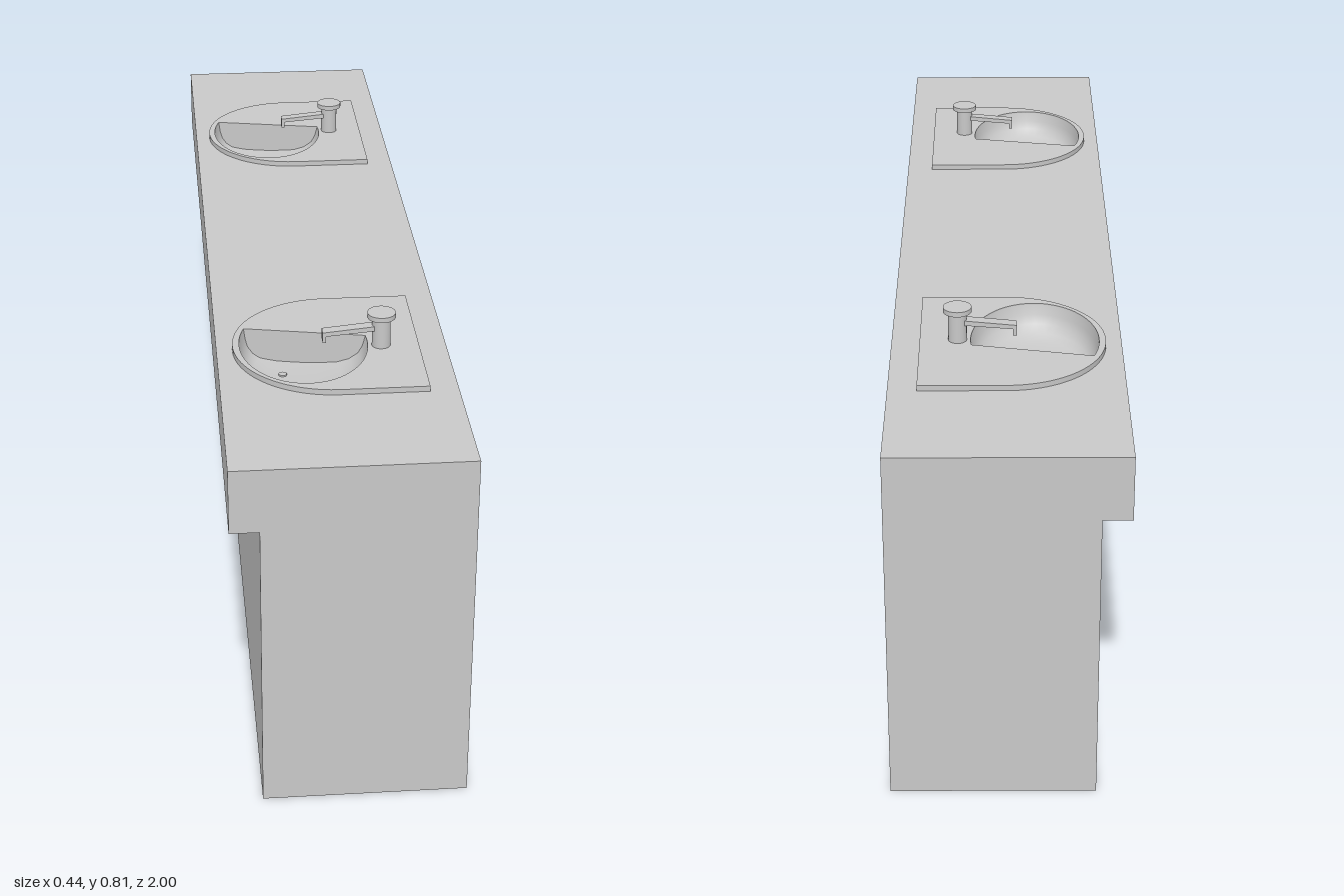
import * as THREE from 'three';
import { toCreasedNormals } from 'three/addons/utils/BufferGeometryUtils.js';

const COUNTER_TOP = 0.725, PLATE_TOP = 0.736;
const BOWL = { x: -0.055, rx: 0.124, rz: 0.162 };

export function createModel() {
  const group = new THREE.Group();
  const grey = new THREE.MeshStandardMaterial({ color: 0xc8c8c8 });
  grey.name = 'grey';
  const greyOpen = grey; // one colour throughout

  const add = (parent, name, geometry, x = 0, y = 0, z = 0) => {
    const mesh = new THREE.Mesh(geometry, greyOpen);
    mesh.name = name;
    mesh.position.set(x, y, z);
    parent.add(mesh);
    return mesh;
  };

  // Extrudes a plan outline (x, -z) upwards
  const slab = (shape, height) => toCreasedNormals(
    new THREE.ExtrudeGeometry(shape, { depth: height, bevelEnabled: false, curveSegments: 32 })
      .rotateX(-Math.PI / 2), 0.5);

  // Bowl opening: an ellipse cut off by a slanted chord on its far side
  const opening = (z) => {
    const points = [];
    for (let i = 0; i <= 40; i++) {
      const a = 0.142 - (3.735 * i) / 40;
      points.push(new THREE.Vector2(BOWL.x + BOWL.rx * Math.cos(a), -z + BOWL.rz * Math.sin(a)));
    }
    return new THREE.Path(points);
  };

  // Bowl: elliptical rings shrinking to a flat floor set towards the -x side
  const bowlGeometry = () => {
    const rings = [[1, 0], [0.97, 0.02], [0.92, 0.037], [0.82, 0.051], [0.68, 0.06], [0.4, 0.065], [0, 0.066]];
    const n = 40, positions = [], index = [];
    rings.forEach(([s, depth], r) => {
      for (let i = 0; i < n; i++) {
        const a = (i / n) * Math.PI * 2;
        positions.push(BOWL.x - 0.04 * (1 - s) + BOWL.rx * s * Math.cos(a), -depth, BOWL.rz * s * Math.sin(a));
        if (r === 0) continue;
        const j = (i + 1) % n, up = (r - 1) * n, low = r * n;
        index.push(up + i, up + j, low + i, up + j, low + j, low + i);
      }
    });
    const g = new THREE.BufferGeometry();
    g.setAttribute('position', new THREE.Float32BufferAttribute(positions, 3));
    // Wind the faces so that they show from inside the bowl
    for (let k = 0; k < index.length; k += 3) [index[k + 1], index[k + 2]] = [index[k + 2], index[k + 1]];
    if (facesDown(g, index)) for (let k = 0; k < index.length; k += 3) [index[k + 1], index[k + 2]] = [index[k + 2], index[k + 1]];
    g.setIndex(index);
    g.computeVertexNormals();
    return g;
  };

  const sinks = [{ z: -0.557, tapZ: -0.557 }, { z: 0.548, tapZ: 0.566 }];

  // Cabinet and overhanging worktop
  add(group, 'cabinet', new THREE.BoxGeometry(0.39, 0.597, 2), 0.027, 0.2985, 0);
  const top = new THREE.Shape([[-0.223, -1], [0.222, -1], [0.222, 1], [-0.223, 1]]
    .map(([x, y]) => new THREE.Vector2(x, y)));
  sinks.forEach(({ z }) => top.holes.push(opening(z)));
  add(group, 'worktop', slab(top, COUNTER_TOP - 0.597), 0, 0.597, 0);

  for (const { z, tapZ } of sinks) {
    const sink = new THREE.Group();
    sink.name = 'sink';
    group.add(sink);

    // D-shaped rim plate
    const plate = new THREE.Shape();
    plate.moveTo(0.167, -z - 0.192);
    plate.lineTo(0.167, -z + 0.192);
    plate.lineTo(0, -z + 0.192);
    plate.absarc(0, -z, 0.192, Math.PI / 2, Math.PI * 1.5, false);
    plate.closePath();
    plate.holes.push(opening(z));
    add(sink, 'rimPlate', slab(plate, PLATE_TOP - COUNTER_TOP), 0, COUNTER_TOP, 0);

    add(sink, 'bowl', bowlGeometry(), 0, PLATE_TOP - 0.002, z);
    add(sink, 'drain', new THREE.CylinderGeometry(0.008, 0.008, 0.004, 16), -0.095, PLATE_TOP - 0.067, z);

    // Tap: post, cap and bent spout
    add(sink, 'tapPost', new THREE.CylinderGeometry(0.018, 0.018, 0.064, 24), 0.094, 0.767, tapZ);
    add(sink, 'tapCap', new THREE.CylinderGeometry(0.0275, 0.0275, 0.01, 24), 0.094, 0.801, tapZ);
    const spout = new THREE.Shape([[0.085, 0.771], [0.085, 0.781], [-0.02, 0.771], [-0.02, 0.75], [-0.013, 0.75], [-0.013, 0.763]]
      .map(([x, y]) => new THREE.Vector2(x, y)));
    add(sink, 'tapSpout', new THREE.ExtrudeGeometry(spout, { depth: 0.022, bevelEnabled: false }), 0, 0, tapZ - 0.011);
  }
  return group;
}

// True when the summed face normals of an indexed surface point down
function facesDown(geometry, index) {
  const p = geometry.attributes.position, [a, b, c] = [0, 1, 2].map(() => new THREE.Vector3());
  let sum = 0;
  for (let k = 0; k < index.length; k += 3) {
    [a, b, c].forEach((v, i) => v.fromBufferAttribute(p, index[k + i]));
    sum += b.sub(a).cross(c.sub(a)).y;
  }
  return sum < 0;
}
